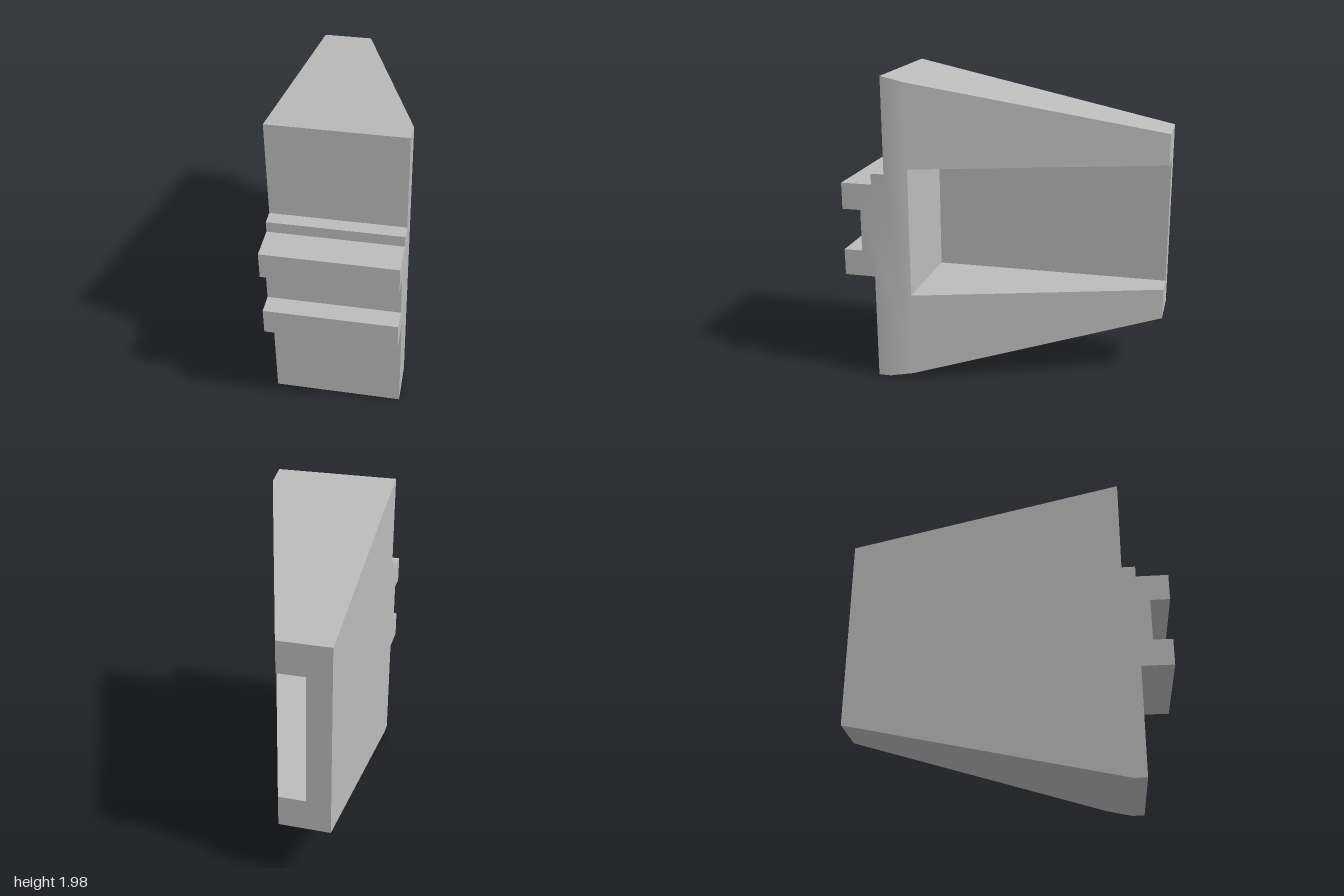
import * as THREE from 'three';

const HALF = 0.4;        // half width
const FOLD = 0.56;       // z where the side starts to taper
const FLOOR = -0.25;     // x of the recess floor
const POCKET = [0.58, 1.41];
const topY = z => 1.98 - (0.715 - z) * 0.216;
const bottomY = z => (0.72 - z) * 0.221;

// Extrudes a [z, y] side profile across x
function slab(profile, x0, x1) {
  const shape = new THREE.Shape(profile.map(p => new THREE.Vector2(p[0], p[1])));
  const geo = new THREE.ExtrudeGeometry(shape, { depth: x1 - x0, bevelEnabled: false });
  return geo.rotateY(-Math.PI / 2).translate(x1, 0, 0);
}

export function createModel() {
  const group = new THREE.Group();
  const grey = new THREE.MeshStandardMaterial({ color: 0xbbbbbb });
  grey.name = 'light grey';
  const add = (name, geo) => {
    const mesh = new THREE.Mesh(geo, grey);
    mesh.name = name;
    group.add(mesh);
  };

  // Front block with the two ribs
  const front = slab([
    [FOLD, bottomY(FOLD)], [0.72, 0], [0.8, 0], [0.8, 0.69], [1, 0.69], [1, 0.86],
    [0.88, 0.86], [0.88, 1.13], [1, 1.13], [1, 1.3], [0.8, 1.3], [0.8, 1.37],
    [0.715, 1.37], [0.715, 1.98], [FOLD, topY(FOLD)],
  ], -HALF, HALF);
  // Blend the shading softly into the tapered side
  const pos = front.attributes.position, nor = front.attributes.normal;
  for (let i = 0; i < pos.count; i++) {
    if (nor.getX(i) > 0.9 && pos.getZ(i) < FOLD + 0.01) nor.setXYZ(i, 0.956, 0, -0.294);
  }
  add('frontBlock', front);

  // Upper and lower arms, narrowing towards the back
  const arms = {
    upperArm: [[-1, POCKET[1]], [FOLD, POCKET[1]], [FOLD, topY(FOLD)], [-1, topY(-1)]],
    lowerArm: [[-1, bottomY(-1)], [FOLD, bottomY(FOLD)], [FOLD, POCKET[0]], [-1, POCKET[0]]],
  };
  for (const [name, profile] of Object.entries(arms)) {
    const geo = slab(profile, -HALF, HALF);
    const p = geo.attributes.position;
    for (let i = 0; i < p.count; i++) {
      if (p.getX(i) > 0 && p.getZ(i) < -0.9) p.setX(i, -0.08);
    }
    geo.computeVertexNormals();
    add(name, geo);
  }

  // Thin wall forming the floor of the recess
  add('recessWall', slab([
    [-1, POCKET[0]], [FOLD, POCKET[0]], [FOLD, POCKET[1]], [-1, POCKET[1]],
  ], -HALF, FLOOR));

  return group;
}
